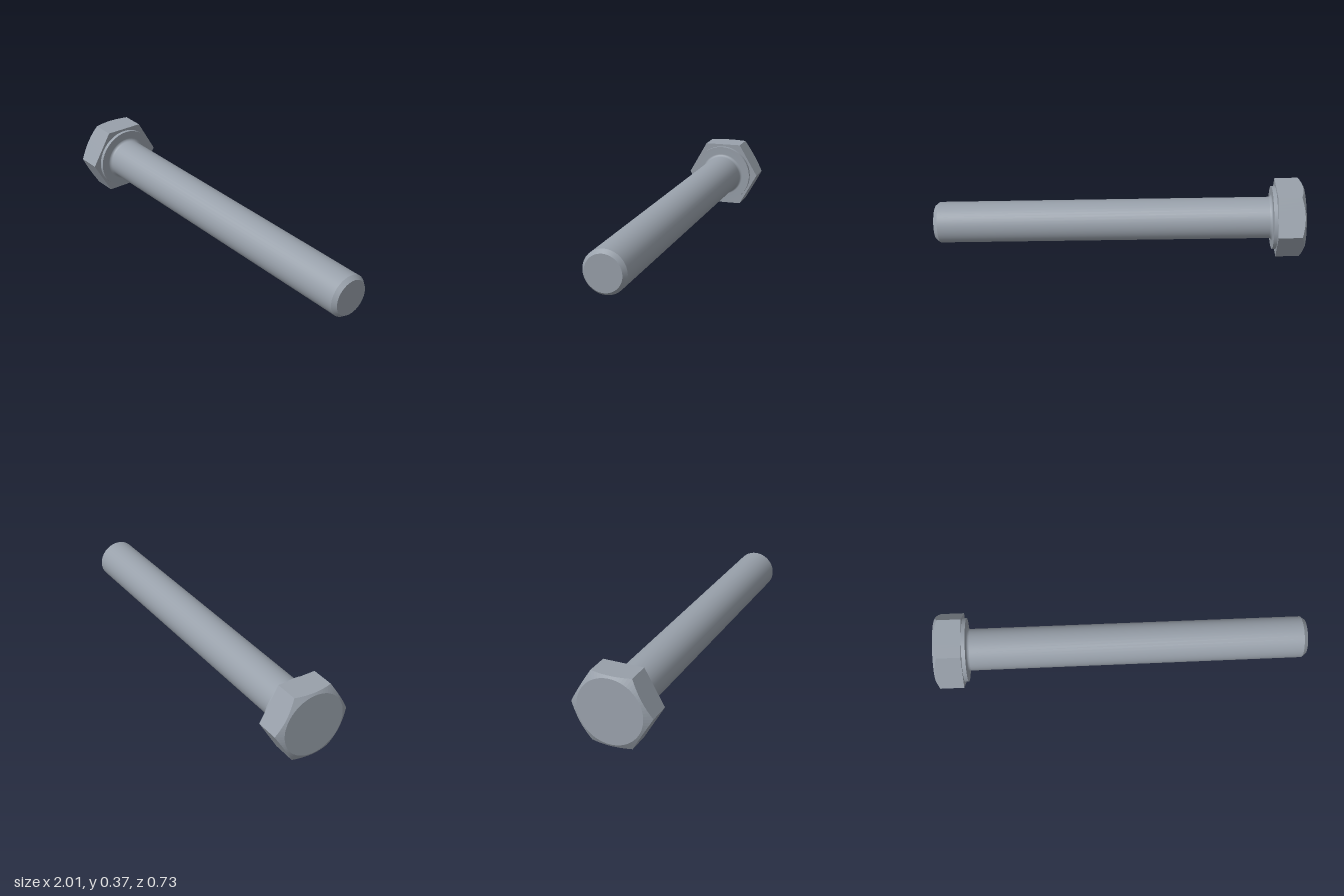
import * as THREE from 'three';

const APOTHEM = 0.184, WASHER_R = 0.171, SHAFT_R = 0.112, TIP_R = 0.095;
const LENGTH = 1.829, TIP_CHAMFER = 0.022, HEAD_FRONT = -0.02, HEAD_BACK = -0.169;

export function createModel() {
  const steel = new THREE.MeshStandardMaterial({ color: 0x98a0aa });
  steel.name = 'steel';
  const bolt = new THREE.Group();
  bolt.name = 'hexBolt';

  // Turned section about the bolt axis (+x); pairs are [radius, distance]
  const turned = (name, pairs, parent = bolt) => {
    const geo = new THREE.LatheGeometry(pairs.map(([r, a]) => new THREE.Vector2(r, a)), 40);
    geo.rotateZ(-Math.PI / 2);
    const mesh = new THREE.Mesh(geo, steel);
    mesh.name = name;
    parent.add(mesh);
  };

  // Hex head: a lathe whose outer rings are pushed out to a hexagon,
  // the back rim following a 30 degree cone
  const crownR = 0.172;
  const profile = [[0, HEAD_BACK], [crownR, HEAD_BACK], [0.2, HEAD_BACK + 0.01], [0.2, HEAD_FRONT], [0, HEAD_FRONT]];
  let head = new THREE.LatheGeometry(profile.map(([r, a]) => new THREE.Vector2(r, a)), 72);
  const pos = head.attributes.position;
  for (let i = 0; i < pos.count; i++) {
    const ring = i % profile.length;
    if (ring !== 2 && ring !== 3) continue;
    const phi = Math.floor(i / profile.length) / 72 * Math.PI * 2;
    const r = APOTHEM / Math.cos((phi % (Math.PI / 3)) - Math.PI / 6);
    const y = ring === 2 ? HEAD_BACK + (r - crownR) * Math.tan(Math.PI / 6) : HEAD_FRONT;
    pos.setXYZ(i, r * Math.sin(phi), y, r * Math.cos(phi));
  }
  head = head.toNonIndexed();
  head.computeVertexNormals();
  head.rotateZ(-Math.PI / 2);
  const headMesh = new THREE.Mesh(head, steel);
  headMesh.name = 'hexHead';
  bolt.add(headMesh);

  // Washer face with a small fillet running into the shaft
  turned('washerRim', [[WASHER_R, HEAD_FRONT], [WASHER_R, 0]]);
  const fillet = 0.015, neck = [[WASHER_R, 0]];
  for (let i = 0; i <= 5; i++) {
    const t = i / 5 * Math.PI / 2;
    neck.push([SHAFT_R + fillet * (1 - Math.sin(t)), fillet * (1 - Math.cos(t))]);
  }
  turned('washerFace', neck);

  // Shaft, chamfered tip and flat end
  const shaft = new THREE.Group();
  shaft.name = 'shaft';
  bolt.add(shaft);
  turned('shaftBody', [[SHAFT_R, fillet], [SHAFT_R, LENGTH - TIP_CHAMFER]], shaft);
  turned('tipChamfer', [[SHAFT_R, LENGTH - TIP_CHAMFER], [TIP_R, LENGTH]], shaft);
  turned('tipFace', [[TIP_R, LENGTH], [0, LENGTH]], shaft);

  // Lying on its side, resting on the head flat and the tip
  bolt.rotation.set(0, -0.2107, -0.037, 'YXZ');
  bolt.position.set(-0.807, 0.18, -0.131);

  const model = new THREE.Group();
  model.name = 'bolt';
  model.add(bolt);
  return model;
}
